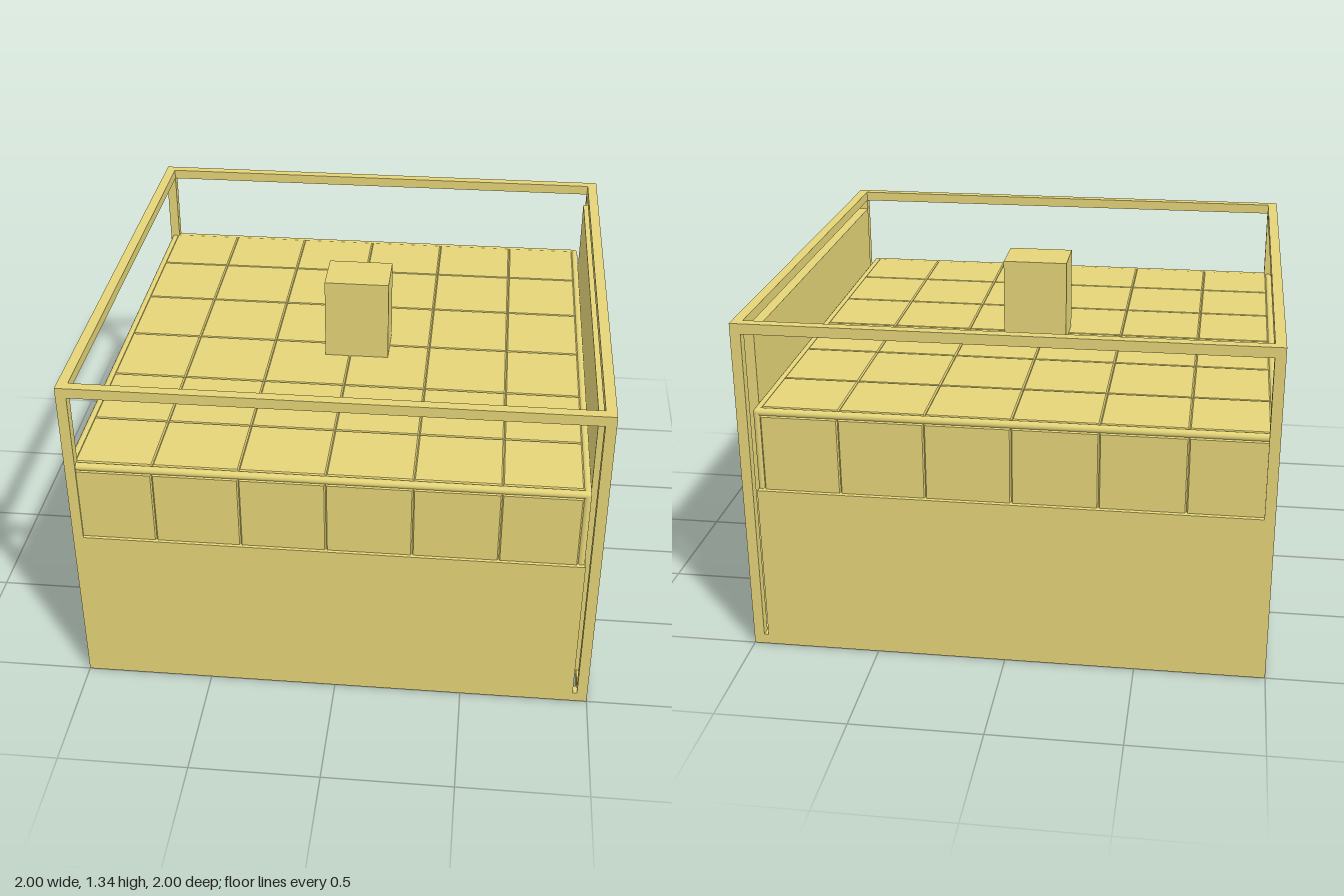
import * as THREE from 'three';

const sand = new THREE.MeshStandardMaterial({ color: 0xe4d478 });
sand.name = 'sand';

// Box given by its minimum and maximum corners
function box(name, x0, x1, y0, y1, z0, z1) {
  const mesh = new THREE.Mesh(new THREE.BoxGeometry(x1 - x0, y1 - y0, z1 - z0), sand);
  mesh.position.set((x0 + x1) / 2, (y0 + y1) / 2, (z0 + z1) / 2);
  mesh.name = name;
  return mesh;
}

// Box standing on y = 0 whose top edges are chamfered by b
function chamferedBox(w, h, d, b) {
  const box = new THREE.BoxGeometry(w, h, d, 1, 2, 1).toNonIndexed();
  const p = box.attributes.position;
  for (let i = 0; i < p.count; i++) {
    const level = Math.round(p.getY(i) / (h / 2));
    if (level === 1) {
      p.setX(i, p.getX(i) - Math.sign(p.getX(i)) * b);
      p.setZ(i, p.getZ(i) - Math.sign(p.getZ(i)) * b);
    }
    p.setY(i, level === 1 ? h : level === 0 ? h - b : 0);
  }
  box.computeVertexNormals();
  return box;
}

// Rounded piping between two points
function piping(a, b, r) {
  const dir = b.clone().sub(a);
  const mesh = new THREE.Mesh(new THREE.CylinderGeometry(r, r, dir.length(), 16), sand);
  mesh.position.copy(a).add(b).multiplyScalar(0.5);
  mesh.quaternion.setFromUnitVectors(new THREE.Vector3(0, 1, 0), dir.normalize());
  mesh.name = 'edgePiping';
  return mesh;
}

export function createModel() {
  const model = new THREE.Group();
  model.name = 'framedBlock';
  const H = 1.335, T = 0.04, XR = 0.943;

  // Open cage of twelve square bars
  const frame = new THREE.Group();
  frame.name = 'frame';
  for (const s of [0, 2 - T]) {
    const a = -1 + s, b = a + T;
    for (const t of [0, 2 - T]) frame.add(box('post', a, b, 0, H, -1 + t, -1 + t + T));
    for (const y of [0, H - T]) {
      frame.add(box('sideRail', a, b, y, y + T, -1 + T, 1 - T));
      frame.add(box('crossRail', -1 + T, 1 - T, y, y + T, a, b));
    }
  }
  model.add(frame);

  // Plain lower block with a narrow sloped ledge
  const base = new THREE.Mesh(chamferedBox(XR + 1, 0.68, 2, 0.012), sand);
  base.position.x = (XR - 1) / 2;
  base.name = 'lowerBlock';
  model.add(base);

  // Tiled upper block: core, thin bevelled tiles and rounded edges
  const upper = new THREE.Group();
  upper.name = 'tiledBlock';
  const x0 = -0.994, x1 = 0.94, z0 = -0.994, z1 = 0.994, y0 = 0.655, y1 = 1;
  const depth = 0.007, bevel = 0.005, r = 0.015, rim = 0.026;
  upper.add(box('core', x0 + depth, x1 - depth, 0.6, y1 - depth, z0 + depth, z1 - depth));

  // Cell limits along each direction, leaving room for the piping at the ends
  const cells = (from, to, a, b) => Array.from({ length: 6 }, (_, i) => [
    Math.max(from + (to - from) * i / 6, a + rim),
    Math.min(from + (to - from) * (i + 1) / 6, b - rim)]);
  const xs = cells(-1, XR, x0, x1), zs = cells(-1, 1, z0, z1);
  const mid = (c) => (c[0] + c[1]) / 2, len = (c) => c[1] - c[0];

  for (const x of xs) for (const z of zs) {
    const tile = new THREE.Mesh(chamferedBox(len(x), depth, len(z), bevel), sand);
    tile.position.set(mid(x), y1 - depth, mid(z));
    tile.name = 'topTile';
    upper.add(tile);
  }
  // Side tiles run down behind the ledge
  const yc = [y0, y1 - rim];
  for (const s of [-1, 1]) {
    for (const x of xs) {
      const tile = new THREE.Mesh(chamferedBox(len(x), depth, len(yc), bevel), sand);
      tile.rotation.x = s * Math.PI / 2;
      tile.position.set(mid(x), mid(yc), s * (z1 - depth));
      tile.name = s > 0 ? 'frontTile' : 'backTile';
      upper.add(tile);
    }
    for (const z of zs) {
      const tile = new THREE.Mesh(chamferedBox(len(yc), depth, len(z), bevel), sand);
      tile.rotation.z = -s * Math.PI / 2;
      tile.position.set(s > 0 ? x1 - depth : x0 + depth, mid(yc), mid(z));
      tile.name = s > 0 ? 'leftTile' : 'rightTile';
      upper.add(tile);
    }
  }

  // Piping round the top and down the four corners
  const top = y1 - r;
  const corners = [[x0 + r, z0 + r], [x1 - r, z0 + r], [x1 - r, z1 - r], [x0 + r, z1 - r]]
    .map(([x, z]) => new THREE.Vector3(x, top, z));
  corners.forEach((c, i) => {
    upper.add(piping(c, corners[(i + 1) % 4], r));
    upper.add(piping(new THREE.Vector3(c.x, y0, c.z), c, r));
    const ball = new THREE.Mesh(new THREE.SphereGeometry(r, 16, 12), sand);
    ball.position.copy(c);
    ball.name = 'pipingCorner';
    upper.add(ball);
  });
  model.add(upper);

  // Central column, and the side panel set flush with the outside of the frame
  model.add(box('column', -0.13, 0.13, 0.95, H, -0.1, 0.1));
  model.add(box('sidePanel', XR + 0.001, 1, 0.07, 1.27, -0.9, 0.9));
  return model;
}
